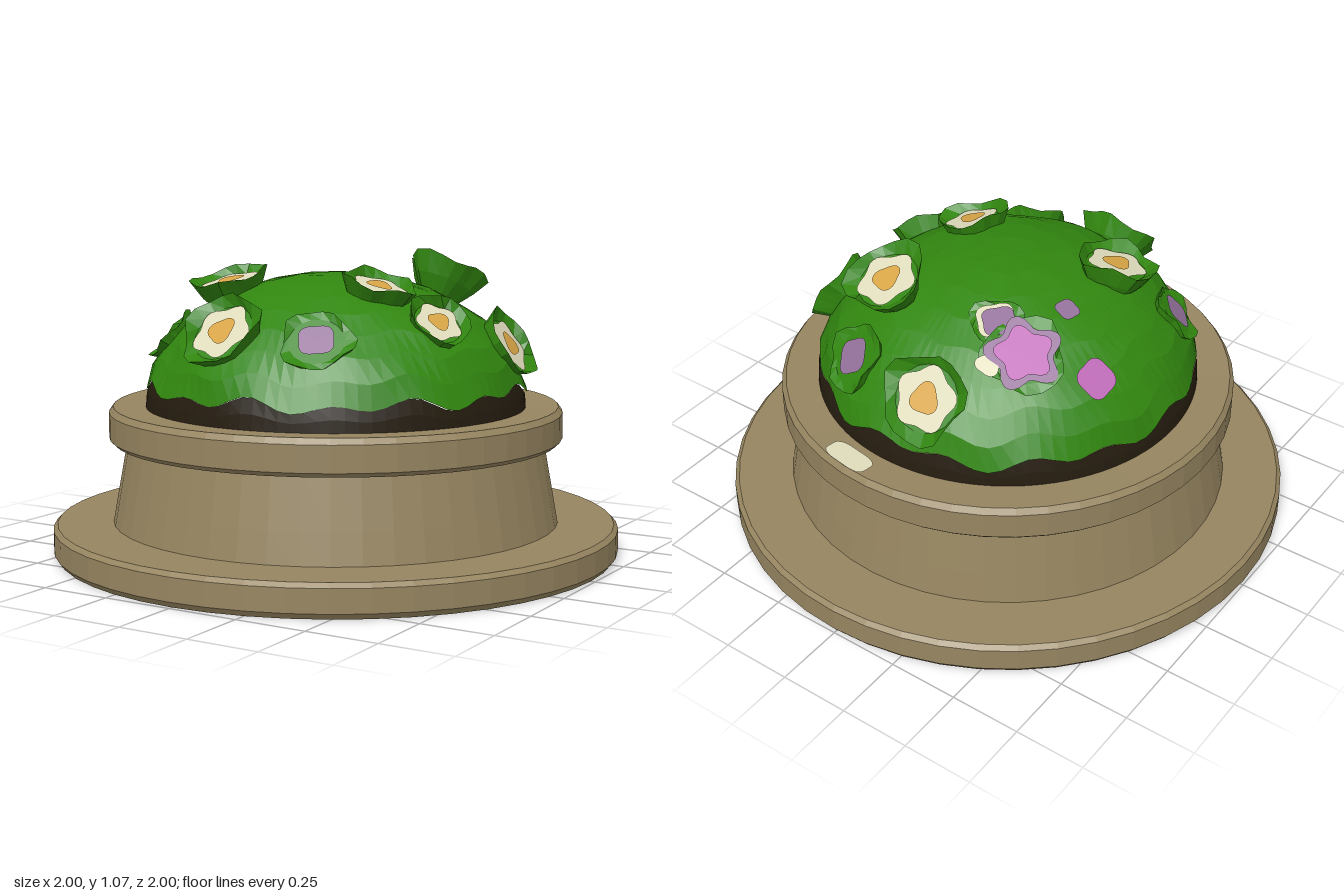
import * as THREE from 'three';

const mat = (name, color, double = false) => new THREE.MeshStandardMaterial({
  name, color, flatShading: true, side: double ? THREE.DoubleSide : THREE.FrontSide });

// Surface of rings around the y axis; point(i, a) gives [radius, height] for ring i at angle a.
function rings(count, cols, point) {
  const pos = [], index = [];
  for (let i = 0; i < count; i++) for (let j = 0; j < cols; j++) {
    const a = j / cols * Math.PI * 2, [r, y] = point(i, a);
    pos.push(r * Math.sin(a), y, r * Math.cos(a));
    if (i === count - 1) continue;
    const k = (j + 1) % cols, p = i * cols + j, q = i * cols + k;
    index.push(p, q, p + cols, q, q + cols, p + cols);
  }
  const g = new THREE.BufferGeometry();
  g.setAttribute('position', new THREE.Float32BufferAttribute(pos, 3));
  g.setIndex(index);
  g.computeVertexNormals();
  return g;
}

const R = 0.67, BASE = 0.52, H = 0.465;
const domeY = (x, z) => BASE + H * Math.sqrt(Math.max(0, 1 - (x * x + z * z) / (R * R)));
const domeNormal = (x, z) => [x / (R * R), (domeY(x, z) - BASE) / (H * H), z / (R * R)];

export function createModel() {
  const model = new THREE.Group();
  model.name = 'flowerPlanter';
  const stone = mat('sandstone', 0x968560), soil = mat('darkSoil', 0x261d10);
  const green = mat('leafGreen', 0x31860f, true), cream = mat('creamPetal', 0xdfdcbc, true);
  const yellow = mat('yellowCentre', 0xd8a545, true);
  const mauve = mat('mauvePetal', 0x94719a, true), pink = mat('pinkPetal', 0xbd68b6, true);

  const add = (parent, name, geometry, material) => {
    const m = new THREE.Mesh(geometry, material);
    m.name = name;
    parent.add(m);
    return m;
  };
  const lathe = (name, pts) => add(model, name,
    new THREE.LatheGeometry(pts.map(p => new THREE.Vector2(...p)), 48), stone);

  // Stone plinth, tapered bowl and rim
  lathe('plinth', [[0, 0], [0.985, 0], [1, 0.02], [1, 0.1], [0.985, 0.115], [0, 0.115]]);
  lathe('bowl', [[0.79, 0.11], [0.77, 0.22], [0.735, 0.41]]);
  lathe('rim', [[0.7, 0.4], [0.785, 0.4], [0.8, 0.415], [0.8, 0.505], [0.785, 0.525], [0.67, 0.52], [0.66, 0.48]]);

  // Mound: soil below a ragged line, foliage above it
  const hem = a => 0.17 + 0.035 * Math.sin(a * 15) + 0.025 * Math.sin(a * 8 + 1);
  const onMound = (phi, swell = 0) => [(R + swell) * Math.cos(phi), BASE + (H + swell) * Math.sin(phi)];
  add(model, 'soil', rings(3, 96, (i, a) => onMound(hem(a) * i / 2)), soil);
  add(model, 'foliage', rings(9, 96, (i, a) => {
    const t = i / 8, phi = hem(a) + (Math.PI / 2 - hem(a)) * t;
    return onMound(phi, 0.006 * Math.sin(a * 7 + i * 2) * (1 - t) + 0.004);
  }), green);

  // Place a group at a point with its y axis along a normal
  const place = (name, pos, normal) => {
    const g = new THREE.Group();
    g.name = name;
    g.position.set(...pos);
    g.quaternion.setFromUnitVectors(new THREE.Vector3(0, 1, 0), new THREE.Vector3(...normal).normalize());
    model.add(g);
    return g;
  };
  // Thin lobed disc
  const petals = (r, y, lobes = 5, wave = 0.12, turn = 0) =>
    rings(2, 40, (i, a) => i ? [0, y] : [r * (1 + wave * Math.cos(lobes * a + turn)), y]);
  // Cupped leaf collar: underside, wavy lip, flat dish
  const collar = (r, seed, lip = 0.03) => {
    const profile = [[0.5, -0.09], [0.8, -0.035], [1.05, lip], [0.8, 0], [0, 0]];
    return rings(profile.length, 18, (i, a) => {
      const [k, y] = profile[i];
      const w = 1 + (i < 3 ? 0.09 * Math.sin(3 * a + seed) + 0.05 * Math.sin(5 * a + seed * 2) : 0);
      return [r * k * w, y + (i === 2 ? 0.01 * Math.sin(4 * a + seed) : 0)];
    });
  };

  // Open cream flowers: position, facing, collar radius
  [
    [[-0.31, 0.95, 0.20], [-0.12, 0.95, 0.22], 0.13],
    [[0.25, 0.965, -0.34], [0.1, 0.87, -0.42], 0.135],
    [[0.26, 0.95, 0.15], [0.3, 0.93, 0.05], 0.12],
    [[0.48, 0.84, 0.14], [0.6, 0.7, 0.3], 0.105],
    [[0.575, 0.74, -0.2], [0.85, 0.52, -0.1], 0.125],
    [[-0.1, 0.815, 0.55], [-0.05, 0.66, 0.74], 0.135],
    [[-0.12, 0.8, -0.615], [-0.08, 0.58, -0.8], 0.14],
  ].forEach(([pos, normal, r], n) => {
    const f = place('flower' + (n + 1), pos, normal);
    add(f, 'leafCollar', collar(r, n * 1.7), green);
    add(f, 'petals', petals(r * 0.74, 0.009, 5, 0.1, n), cream);
    add(f, 'flowerCentre', petals(r * 0.37, 0.014, 3, 0.12, n), yellow).scale.x = 0.95;
  });

  // Buds showing through leafy bumps: x, z, bud radius, material, bump radius
  [
    [-0.49, 0.31, 0.06, mauve, 0.1],
    [0.23, 0.5, 0.062, mauve, 0.115],
    [0.25, -0.53, 0.065, mauve, 0.115],
    [-0.5, -0.21, 0.065, pink, 0],
    [-0.31, -0.1, 0.04, mauve, 0],
  ].forEach(([x, z, r, colour, bump], n) => {
    const b = place('bud' + (n + 1), [x, domeY(x, z) + (bump ? 0.015 : 0.004), z], domeNormal(x, z));
    if (bump) add(b, 'budLeaves', collar(bump, n * 2.1, 0.008), green);
    add(b, 'budPetals', petals(r, 0.009, 4, 0.08, n), colour);
  });

  // Large pink bloom with a smaller half-open one beside it
  const bloom = place('pinkBloom', [-0.3, domeY(-0.3, -0.33) + 0.015, -0.33], domeNormal(-0.3, -0.33));
  add(bloom, 'bloomLeaves', collar(0.13, 1, 0), green);
  add(bloom, 'outerPetals', petals(0.115, 0.008, 5, 0.18, 2), mauve);
  add(bloom, 'innerPetals', petals(0.088, 0.013, 5, 0.15, 2), pink);
  const paleTip = add(bloom, 'paleTip', petals(0.04, 0.006, 3), cream);
  paleTip.position.set(0.07, 0, -0.1);
  const side = place('sideBloom', [-0.16, domeY(-0.16, -0.29) + 0.012, -0.29], domeNormal(-0.16, -0.29));
  add(side, 'sideLeaves', collar(0.085, 3, 0), green);
  add(side, 'sideEdge', petals(0.068, 0.006, 4, 0.1), cream);
  add(side, 'sidePetals', petals(0.058, 0.01, 4, 0.1), mauve).position.x = -0.012;

  // Pale patch on the back of the rim
  const patch = add(model, 'rimPatch', petals(0.1, 0, 4, 0.08, Math.PI), cream);
  patch.position.set(0.12, 0.529, -0.735);
  patch.scale.z = 0.45;
  patch.rotation.y = -0.16;
  return model;
}
